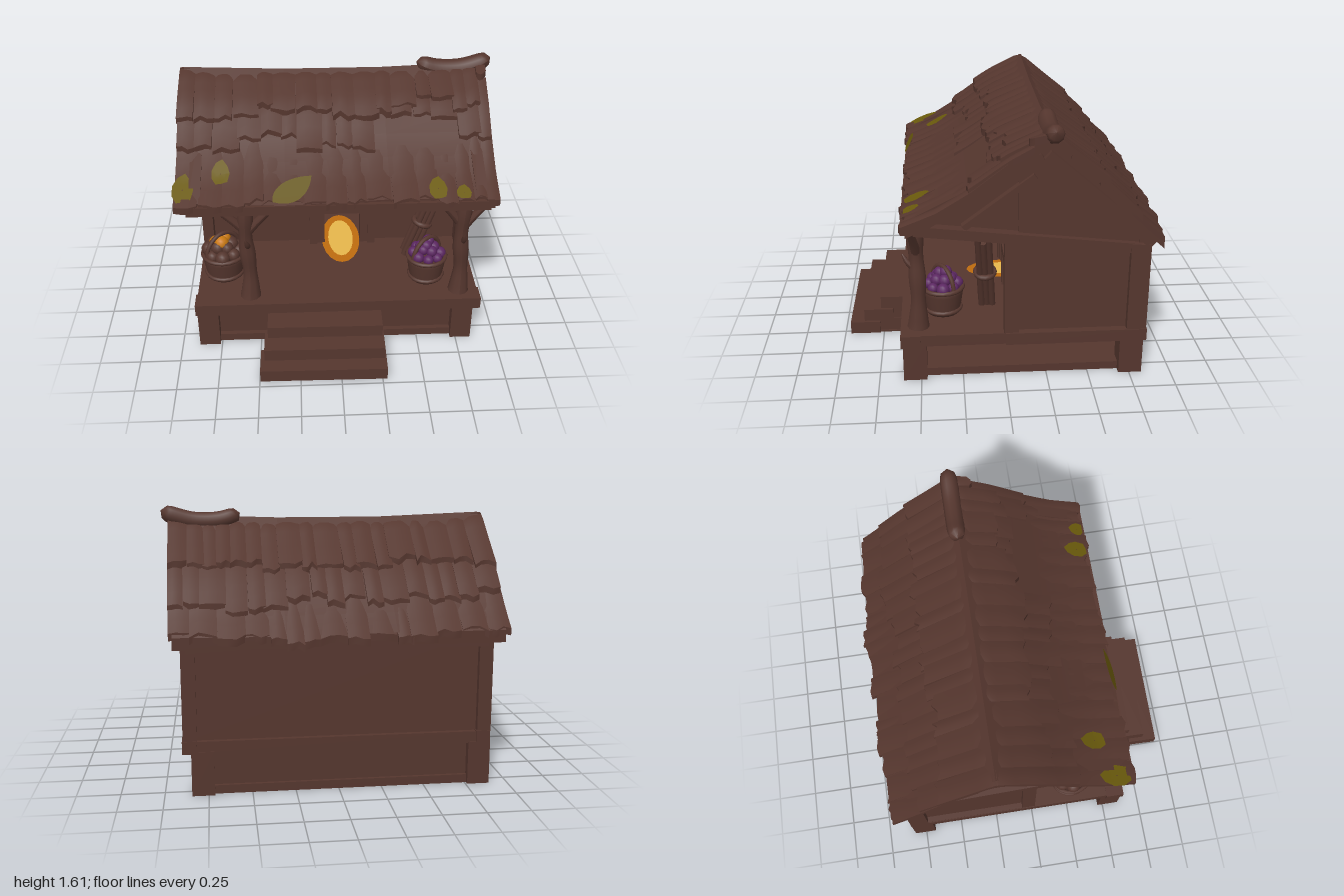
import * as THREE from 'three';
import { mergeGeometries } from 'three/addons/utils/BufferGeometryUtils.js';

const mat = (name, color, side = THREE.FrontSide) => {
  const m = new THREE.MeshStandardMaterial({ color, side });
  m.name = name;
  return m;
};
const V = (x, y, z) => new THREE.Vector3(x, y, z);

export function createModel() {
  const root = new THREE.Group();
  root.name = 'cottage';
  const wood = mat('brownWood', 0x55362e);
  const glow = mat('yellowGlow', 0xe6b64c, THREE.DoubleSide);
  const amber = mat('amberGlow', 0xbe6c0f, THREE.DoubleSide);
  const orange = mat('orangeFruit', 0xc8780f);
  const purple = mat('purpleFruit', 0x5c2762);
  const olive = mat('oliveLeaf', 0x6a5a0c, THREE.DoubleSide);

  let seed = 7;
  const rnd = (a = 0, b = 1) => {
    seed = (seed * 16807) % 2147483647;
    return a + (b - a) * seed / 2147483647;
  };
  const add = (name, geo, m = wood, parent = root) => {
    const mesh = new THREE.Mesh(geo, m);
    mesh.name = name;
    parent.add(mesh);
    return mesh;
  };
  // Box given by its limits
  const box = (name, x0, x1, y0, y1, z0, z1, m = wood) => add(name,
    new THREE.BoxGeometry(x1 - x0, y1 - y0, z1 - z0).translate((x0 + x1) / 2, (y0 + y1) / 2, (z0 + z1) / 2), m);
  // Square beam between two points
  const beam = (name, a, b, w, h) => {
    const mesh = add(name, new THREE.BoxGeometry(w, h, a.distanceTo(b)));
    mesh.position.copy(a).lerp(b, 0.5);
    mesh.lookAt(b);
  };
  // Round limb whose radius follows a rule along the path
  const limb = (name, pts, radius, parent = root) => {
    const path = new THREE.CatmullRomCurve3(pts), n = 20, sides = 10;
    const g = new THREE.TubeGeometry(path, n, 1, sides, false), p = g.attributes.position, v = V(0, 0, 0);
    for (let i = 0; i < p.count; i++) {
      const t = Math.floor(i / (sides + 1)) / n, c = path.getPointAt(t);
      v.fromBufferAttribute(p, i).sub(c).multiplyScalar(radius(t)).add(c);
      p.setXYZ(i, v.x, v.y, v.z);
    }
    g.computeVertexNormals();
    add(name, g, wood, parent);
  };
  const extrude = (shape, depth) => new THREE.ExtrudeGeometry(shape, { depth, bevelEnabled: false, curveSegments: 10 });
  const poly = pts => new THREE.Shape(pts.map(p => new THREE.Vector2(...p)));
  const arch = (w, y1, y2, Kind = THREE.Shape) => {
    const s = new Kind();
    s.moveTo(0.05 - w, 0.32);
    s.lineTo(0.05 + w, 0.32);
    s.lineTo(0.05 + w, y1);
    s.quadraticCurveTo(0.05 + w * 0.9, y1 + (y2 - y1) * 0.65, 0.05, y2);
    s.quadraticCurveTo(0.05 - w * 0.9, y1 + (y2 - y1) * 0.65, 0.05 - w, y1);
    return s;
  };

  // Foundation, deck and steps
  box('baseSlab', -0.84, 0.8, 0, 0.05, -0.79, 0.57);
  for (const x of [-0.825, 0.78]) for (const z of [-0.755, 0.535])
    box('foundationPost', x - 0.065, x + 0.065, 0, 0.26, z - 0.07, z + 0.07);
  box('frontSkirt', -0.77, 0.73, 0.02, 0.25, 0.5, 0.54);
  box('backSkirt', -0.77, 0.73, 0.02, 0.25, -0.78, -0.74);
  box('backSkirtSill', -0.77, 0.73, 0, 0.05, -0.8, -0.74);
  box('deck', -0.89, 0.88, 0.25, 0.32, -0.82, 0.6);
  box('deckFrontEdge', -0.9, 0.89, 0.245, 0.322, 0.5, 0.615);
  [[-0.44, 0.27, 0.17, 0.25, 0.76], [-0.46, 0.28, 0.085, 0.165, 0.87], [-0.485, 0.29, 0, 0.08, 0.96]]
    .forEach(([x0, x1, y0, y1, z]) => {
      box('step', x0, x1, y0, y1, z - 0.19, z).rotation.y = -0.012;
      box('stepBlock', x0 + 0.02, x1 - 0.02, 0, y0 + 0.01, 0.56, z - 0.03);
    });

  // House walls and corner framing
  const frontWall = poly([[-0.85, 0.32], [0.85, 0.32], [0.85, 1.36], [-0.85, 1.36]]);
  frontWall.holes.push(arch(0.12, 0.75, 0.81, THREE.Path));
  add('frontWall', extrude(frontWall, 0.04)).position.z = -0.11;
  box('backWall', -0.85, 0.85, 0.32, 0.92, -0.79, -0.75);
  const gable = poly([[-0.78, 0.3], [-0.08, 0.3], [-0.08, 1.38], [-0.24, 1.47], [-0.78, 0.98]]);
  const porchGable = poly([[-0.08, 0.92], [0.52, 0.99], [0.52, 1.02], [0.2, 1.19], [-0.08, 1.38]]);
  for (const s of [-1, 1]) {
    const wall = add('sideWall', extrude(gable, 0.04).rotateY(-Math.PI / 2));
    wall.position.x = s * 0.83 + 0.02;
    const upper = add('porchGable', extrude(porchGable, 0.03).rotateY(-Math.PI / 2));
    upper.position.x = s * 0.81 + 0.015;
    const x = s * 0.85;
    box('frontCornerPost', x - 0.035, x + 0.035, 0.32, 0.94, -0.075, 0.01);
    box('backCornerPost', x - 0.04, x + 0.04, 0.32, 0.87, -0.825, -0.71);
    box('sideSill', x - 0.035, x + 0.045, 0.25, 0.325, -0.83, 0);
    beam('sideBeam', V(x, 0.99, 0.55), V(x, 0.835, -0.82), 0.07, 0.06);
    beam('frontRafter', V(x, 1.02, 0.55), V(x, 1.4, -0.2), 0.07, 0.06);
    beam('backRafter', V(x, 1.41, -0.22), V(x, 0.87, -0.84), 0.07, 0.07);
    beam('gableBrace', V(x, 0.99, 0.24), V(x, 1.29, -0.16), 0.05, 0.035);
  }
  box('frontBeam', -0.9, 0.9, 0.97, 1.03, 0.52, 0.59);
  box('backBeam', -0.86, 0.86, 0.83, 0.91, -0.83, -0.76);

  // Roof: slab with raised ridge ends, under overlapping split shingles bent along the slope
  const slope = [[-0.97, 0.835], [-0.76, 1.015], [-0.6, 1.17], [-0.4, 1.345], [-0.24, 1.49], [0, 1.35], [0.2, 1.2], [0.4, 1.08], [0.6, 0.995]];
  const roofY = (z, x) => {
    let i = 0;
    while (i < slope.length - 2 && z > slope[i + 1][0]) i++;
    const [a, b] = [slope[i], slope[i + 1]];
    return a[1] + (b[1] - a[1]) * (z - a[0]) / (b[0] - a[0]) + 0.04 * x ** 4 * Math.max(0, 1 - Math.abs(z + 0.24) / 0.6);
  };
  const plank = (x0, x1, zTop, zEnd, lift, thick, skew = 0) => {
    const g = new THREE.BoxGeometry(1, 1, 1, 3, 1, 6), p = g.attributes.position, back = zEnd < zTop;
    const notch = [rnd(-0.012, 0.012), rnd(-0.02, 0.02), rnd(-0.02, 0.02), rnd(-0.012, 0.012)];
    for (let i = 0; i < p.count; i++) {
      const u = p.getX(i) + 0.5, k = back ? 0.5 - p.getZ(i) : p.getZ(i) + 0.5;
      const z = zTop + (zEnd - zTop) * k + notch[Math.round(u * 3)] * k;
      const x = x0 + (x1 - x0) * u + skew * k;
      const bulge = 0.008 * Math.sin(Math.PI * u);
      p.setXYZ(i, x, roofY(z, x) + lift * (0.2 + 0.8 * k) + bulge + p.getY(i) * thick, z);
    }
    g.computeVertexNormals();
    return g;
  };
  add('roofUnderside', mergeGeometries([
    plank(-0.94, 0.93, -0.24, 0.57, -0.01, 0.07), plank(-0.94, 0.93, -0.24, -0.89, -0.01, 0.07)]));
  const shingleRow = (name, zTop, zEnd, vary, lift) => {
    const list = [];
    let x = -0.965, group = 0, left = 0;
    while (x < 0.94) {
      if (left-- <= 0) { group = rnd(-vary, vary); left = Math.floor(rnd(1, 4)); }
      const w = Math.min(rnd(0.08, 0.16), 0.955 - x);
      list.push(plank(x, x + w + 0.004, zTop, zEnd + group + rnd(-0.022, 0.022),
        lift + rnd(-0.006, 0.008), 0.042, rnd(-0.01, 0.01)));
      x += w;
    }
    add(name, mergeGeometries(list));
  };
  shingleRow('frontLowerShingles', 0.0, 0.58, 0.012, 0.012);
  shingleRow('frontMiddleShingles', -0.14, 0.17, 0.12, 0.036);
  shingleRow('frontUpperShingles', -0.25, 0.0, 0.11, 0.052);
  shingleRow('backLowerShingles', -0.5, -0.91, 0.03, 0.012);
  shingleRow('backMiddleShingles', -0.34, -0.73, 0.04, 0.036);
  shingleRow('backUpperShingles', -0.23, -0.54, 0.06, 0.052);
  limb('ridgeLog', [V(0.53, 1.56, -0.25), V(0.64, 1.52, -0.25), V(0.8, 1.515, -0.25), V(0.92, 1.545, -0.25), V(1.0, 1.58, -0.25)],
    t => 0.055 * Math.pow(Math.max(0, 1 - Math.pow(Math.abs(2 * t - 1), 8)), 0.5));

  // Moss patches lying on the eave and one upright leaf
  for (const [x, z, w, d] of [[-0.92, 0.48, 0.13, 0.19], [-0.7, 0.38, 0.11, 0.15], [0.59, 0.51, 0.11, 0.15], [0.74, 0.54, 0.09, 0.1]]) {
    const g = new THREE.RingGeometry(0.02, 0.5, 9, 3).rotateX(-Math.PI / 2), p = g.attributes.position;
    for (let i = 0; i < p.count; i++) {
      const px = x + p.getX(i) * w, pz = Math.min(0.575, z + p.getZ(i) * d * (1 + 0.15 * Math.sin(i * 2)));
      p.setXYZ(i, px, roofY(pz, px) + 0.044, pz);
    }
    g.computeVertexNormals();
    add('mossPatch', g, olive);
  }
  const leafShape = new THREE.Shape();
  leafShape.moveTo(-0.39, 1.06);
  leafShape.bezierCurveTo(-0.4, 1.14, -0.3, 1.2, -0.16, 1.2);
  leafShape.bezierCurveTo(-0.17, 1.1, -0.25, 1.02, -0.39, 1.06);
  const leaf = new THREE.ShapeGeometry(leafShape), lp = leaf.attributes.position;
  for (let i = 0; i < lp.count; i++) lp.setZ(i, 0.59 - (lp.getY(i) - 1.05) * 0.4);
  leaf.computeVertexNormals();
  add('leaf', leaf, olive);

  // Pointed doorway with two frames, open to a glowing room
  const frame = (name, w, y1, y2, iw, iy1, iy2, z) => {
    const s = arch(w, y1, y2);
    s.holes.push(arch(iw, iy1, iy2, THREE.Path));
    add(name, extrude(s, 0.06)).position.z = z;
  };
  frame('outerDoorFrame', 0.22, 0.68, 0.96, 0.17, 0.67, 0.9, -0.08);
  frame('innerDoorFrame', 0.175, 0.67, 0.91, 0.12, 0.75, 0.81, -0.095);
  box('roomGlow', -0.3, 0.4, 0.33, 0.85, -0.752, -0.745, glow);
  const wave = [];
  for (let x = 0.4; x > -0.31; x -= 0.035) wave.push([x, 0.585 + 0.012 * Math.sin(x * 60) + 0.008 * Math.sin(x * 110)]);
  add('roomLowerGlow', new THREE.ShapeGeometry(poly([[-0.3, 0.32], [0.4, 0.32], ...wave])), amber).position.z = -0.742;
  [['floorGlowEdge', 0.13, 0.28, 0.324, amber], ['floorGlow', 0.085, 0.21, 0.327, glow]].forEach(([n, w, d, y, m]) =>
    add(n, new THREE.CircleGeometry(1, 20).rotateX(-Math.PI / 2).scale(w, 1, d), m).position.set(0.04, y, -0.08));

  // Windows
  for (const [x0, x1] of [[-0.69, -0.48], [0.36, 0.57]]) {
    const c = (x0 + x1) / 2;
    box('windowPane', x0, x1, 0.63, 0.84, -0.07, -0.064, glow);
    box('windowLintel', x0 - 0.06, x1 + 0.06, 0.835, 0.885, -0.075, -0.015);
    box('windowSill', x0 - 0.06, x1 + 0.06, 0.585, 0.64, -0.075, -0.015);
    for (const x of [x0 - 0.025, x1 + 0.025]) box('windowJamb', x - 0.025, x + 0.025, 0.6, 0.86, -0.075, -0.025);
    box('windowMullion', c - 0.01, c + 0.01, 0.63, 0.84, -0.07, -0.045);
    box('windowBar', x0, x1, 0.725, 0.745, -0.07, -0.045);
  }

  // Tree-trunk porch posts with forked branches
  for (const [x, l, r] of [[-0.555, -0.17, 0.16], [0.76, -0.14, 0.13]]) {
    const post = new THREE.Group();
    post.name = 'porchPost';
    root.add(post);
    limb('trunk', [V(x, 0.31, 0.51), V(x + 0.005, 0.5, 0.505), V(x - 0.01, 0.75, 0.51), V(x, 1.02, 0.52)],
      t => 0.046 + 0.022 * Math.exp(-t * 12) + 0.004 * Math.sin(t * 17), post);
    for (const d of [l, r])
      limb('branch', [V(x, 0.8, 0.51), V(x + d * 0.4, 0.88, 0.52), V(x + d, 0.99, 0.54)], t => 0.03 - 0.01 * t, post);
    limb('branchStub', [V(x, 0.7, 0.52), V(x, 0.74, 0.56), V(x - 0.01, 0.79, 0.59)], t => 0.022 * Math.sqrt(1 - t * 0.98), post);
  }

  // Baskets of fruit
  const basket = (name, x, z, r, fruitR, fruitMat, topMat) => {
    const g = new THREE.Group();
    g.name = name;
    g.position.set(x, 0.32, z);
    root.add(g);
    const profile = [[0, 0], [0.8, 0], [0.86, 0.04], [0.97, 0.13], [1, 0.165], [0.9, 0.165], [0.85, 0.13], [0, 0.13]];
    add('basketBowl', new THREE.LatheGeometry(profile.map(([a, b]) => new THREE.Vector2(a * r, b)), 20), wood, g);
    for (const y of [0.025, 0.165])
      add('basketRim', new THREE.TorusGeometry(r * (y > 0.1 ? 0.97 : 0.84), 0.014, 8, 20).rotateX(Math.PI / 2).translate(0, y, 0), wood, g);
    add('basketHandle', new THREE.TorusGeometry(r * 0.9, 0.013, 8, 18, Math.PI).scale(1, 1.2, 1).rotateY(0.6).translate(0, 0.16, 0), wood, g);
    [[8, 0.68, 0.175], [5, 0.36, 0.215], [2, 0.16, 0.25]].forEach(([n, k, y], row) => {
      for (let i = 0; i < n; i++) {
        const a = i / n * Math.PI * 2 + row, top = row === 2 || (row === 1 && i % 3 === 2);
        add('fruit', new THREE.SphereGeometry(fruitR * rnd(0.9, 1.1), 12, 8), top ? topMat : fruitMat, g)
          .position.set(Math.cos(a) * r * k, y + rnd(0, 0.02), Math.sin(a) * r * k);
      }
    });
  };
  basket('leftBasket', -0.73, 0.27, 0.138, 0.046, wood, orange);
  basket('rightBasket', 0.57, 0.36, 0.125, 0.036, purple, purple);

  // Leaning bundle of sticks
  for (let i = 0; i < 8; i++) {
    const a = i * 0.785, r = i % 2 ? 0.045 : 0.025;
    const lo = V(0.49 + Math.cos(a) * r, 0.32, 0.09 + Math.sin(a) * r);
    const hi = V(0.655 + Math.cos(a) * r, rnd(0.79, 0.87), 0.12 + Math.sin(a) * r);
    const stick = add('stick', new THREE.CylinderGeometry(0.018, 0.02, lo.distanceTo(hi), 8));
    stick.position.copy(lo).lerp(hi, 0.5);
    stick.quaternion.setFromUnitVectors(V(0, 1, 0), hi.sub(lo).normalize());
  }
  const tie = add('bundleTie', new THREE.TorusGeometry(0.055, 0.018, 8, 16).rotateX(Math.PI / 2));
  tie.position.set(0.57, 0.57, 0.105);
  tie.rotation.z = -0.3;
  return root;
}
